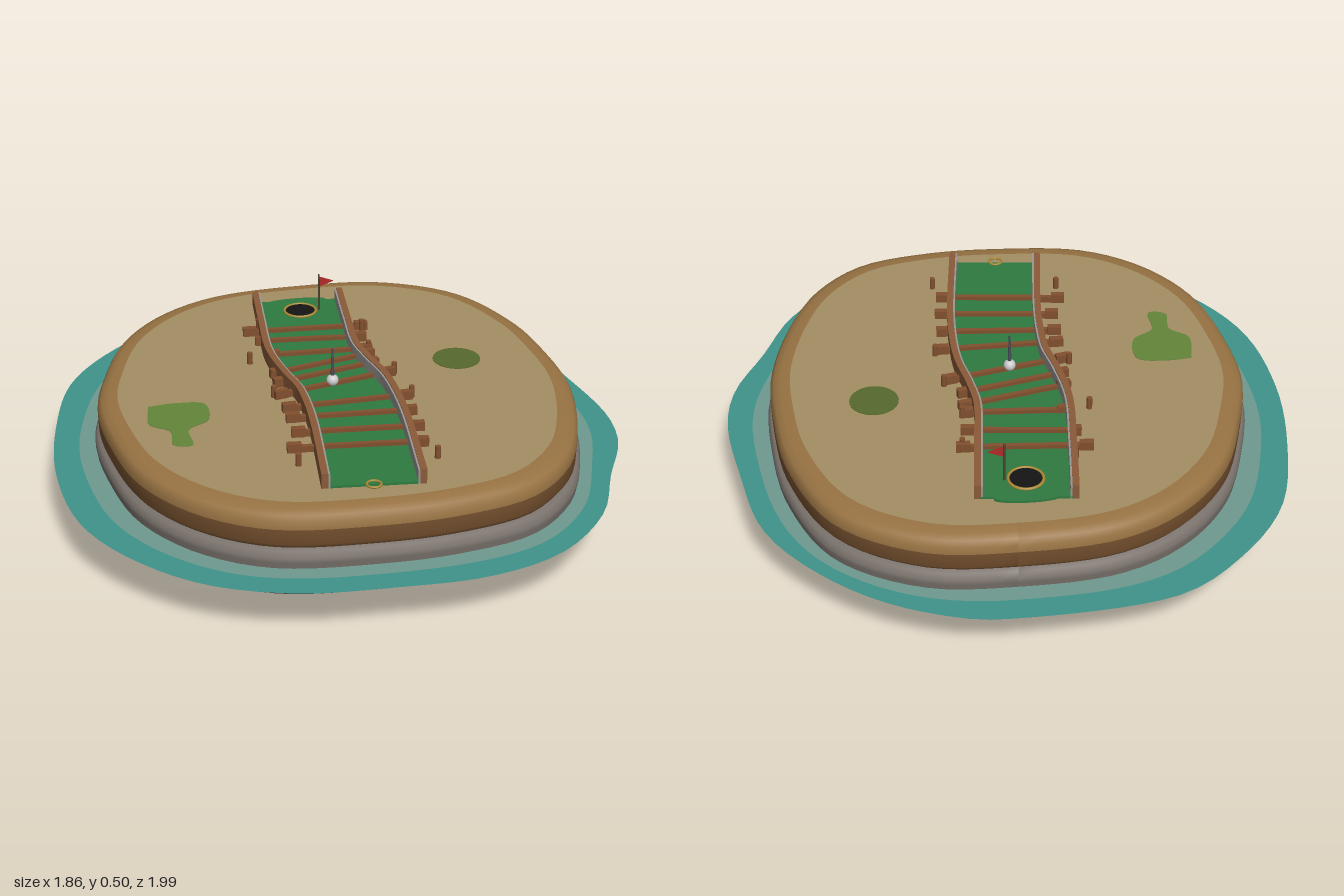
import * as THREE from 'three';

const mat = (color, side = THREE.FrontSide) => new THREE.MeshStandardMaterial({ color, side });
const WOOD = 0x8a5a38, GREEN = 0x2f7a40;
const TOP = 0.36;

export function createModel() {
  const model = new THREE.Group();

  function add(name, geometry, material, x = 0, y = 0, z = 0) {
    const mesh = new THREE.Mesh(geometry, material);
    mesh.name = name;
    mesh.position.set(x, y, z);
    model.add(mesh);
    return mesh;
  }

  // Smooth closed plan outline from a few [x, z] points
  const N = 96;
  const outline = (pts) => new THREE.CatmullRomCurve3(
    pts.map(([x, z]) => new THREE.Vector3(x, 0, z)), true).getSpacedPoints(N);

  const shore = outline([
    [0.03, -0.86], [0.32, -0.84], [0.58, -0.69], [0.73, -0.4], [0.78, -0.13], [0.79, 0.1], [0.73, 0.4],
    [0.64, 0.61], [0.48, 0.77], [0.24, 0.84], [-0.02, 0.855], [-0.34, 0.82], [-0.55, 0.69], [-0.7, 0.48],
    [-0.77, 0.21], [-0.79, -0.03], [-0.75, -0.24], [-0.66, -0.5], [-0.5, -0.7], [-0.29, -0.82]]);
  const waterEdge = outline([
    [0.06, -1], [0.19, -0.99], [0.43, -0.9], [0.64, -0.74], [0.8, -0.53], [0.88, -0.24], [0.93, 0.05],
    [0.91, 0.24], [0.82, 0.45], [0.72, 0.69], [0.53, 0.89], [0.29, 0.98], [0, 0.99], [-0.29, 0.97],
    [-0.55, 0.87], [-0.76, 0.67], [-0.88, 0.45], [-0.93, 0.13], [-0.91, -0.19], [-0.83, -0.53],
    [-0.66, -0.77], [-0.45, -0.93]]);

  // Skin a stack of plan loops, bottom to top or outside to inside
  function loft(loops) {
    const pos = loops.flatMap((l) => l.flatMap((p) => [p.x, p.y, p.z]));
    const index = [];
    const w = N + 1;
    for (let j = 0; j < loops.length - 1; j++) {
      for (let i = 0; i < N; i++) {
        const a = j * w + i, c = a + w;
        index.push(a, c, a + 1, a + 1, c, c + 1);
      }
    }
    const g = new THREE.BufferGeometry();
    g.setAttribute('position', new THREE.Float32BufferAttribute(pos, 3));
    g.setIndex(index);
    g.computeVertexNormals();
    return g;
  }
  const layer = (name, color, profile) => add(name, loft(profile.map(([s, y]) =>
    shore.map((p) => new THREE.Vector3(p.x * s, y, p.z * s)))), mat(color));

  // Island, from the seabed cone up to the sand
  layer('rockBase', 0x2b2826, [[0, 0], [0.975, 0.08]]);
  layer('lowerCliff', 0x4c4744, [[0.975, 0.08], [0.99, 0.15]]);
  layer('upperCliff', 0x7a726c, [[0.99, 0.15], [1, 0.2], [1, 0.215], [0.988, 0.235], [0.95, 0.24]]);
  layer('earthBand', 0x76512f, [[0.965, 0.235], [0.982, 0.255], [0.984, 0.305]]);
  layer('sandRim', 0x987343, [[0.984, 0.305], [0.982, 0.33], [0.968, 0.347], [0.94, 0.357], [0.9, TOP]]);
  layer('sandTop', 0xa38e63, [[0.9, TOP], [0, TOP]]);

  // Flat water ring, paler by the shore
  const ring = (t) => shore.map((p, i) => p.clone().lerp(waterEdge[i], t).setY(0.18));
  add('shallowWater', loft([ring(0.4), ring(-0.15)]), mat(0x6f9a90, THREE.DoubleSide));
  add('deepWater', loft([ring(1), ring(0.4)]), mat(0x3f938a, THREE.DoubleSide));

  // Grass patches
  const flat = (shape, h) => new THREE.ExtrudeGeometry(shape,
    { depth: h, bevelEnabled: false, curveSegments: 24 }).rotateX(-Math.PI / 2);
  const meadow = new THREE.Shape();
  meadow.moveTo(-0.62, -0.06);
  meadow.splineThru([[-0.53, -0.05], [-0.44, -0.07], [-0.44, -0.18], [-0.51, -0.24], [-0.51, -0.34],
    [-0.57, -0.33], [-0.57, -0.24], [-0.63, -0.18], [-0.62, -0.06]].map((p) => new THREE.Vector2(...p)));
  add('meadowPatch', flat(meadow, 0.002), mat(0x64863a), 0, TOP, 0);
  add('roundPatch', new THREE.CylinderGeometry(0.08, 0.08, 0.002, 32), mat(0x56692f), 0.44, TOP + 0.001, -0.11);

  // Winding lane: strips offset sideways from one centre line
  const lane = new THREE.CatmullRomCurve3([[-0.01, -0.66], [-0.026, -0.42], [-0.036, -0.2], [-0.015, -0.06],
    [0.014, 0.07], [0.022, 0.2], [0.019, 0.35], [-0.008, 0.7]].map(([x, z]) => new THREE.Vector3(x, 0, z)));
  const offset = (d) => lane.getPoints(48).map((p, i) => {
    const t = lane.getTangent(i / 48);
    return new THREE.Vector2(p.x + t.z * d, -(p.z - t.x * d));
  });
  const strip = (name, color, d0, d1, y0, y1) => add(name,
    flat(new THREE.Shape([...offset(d0), ...offset(d1).reverse()]), y1 - y0), mat(color), 0, y0, 0);

  strip('green', GREEN, -0.14, 0.14, 0.355, 0.368);
  add('greenBackEdge', new THREE.CylinderGeometry(0.1, 0.1, 0.012, 32).scale(1, 1, 0.2),
    mat(GREEN), -0.01, 0.362, -0.66);
  for (const s of [-1, 1]) {
    const side = s < 0 ? 'right' : 'left';
    strip(side + 'Wall', WOOD, s * 0.139, s * 0.16, 0.355, 0.41);
    strip(side + 'WallLining', 0x9a9693, s * 0.133, s * 0.139, 0.355, 0.407);
  }

  // Cross beams running under the walls: [x0, z0, x1, z1]
  const beams = [[-0.24, -0.42, 0.19, -0.4], [-0.21, -0.34, 0.17, -0.31], [-0.19, -0.225, 0.17, -0.215],
    [-0.2, -0.08, 0.17, -0.18], [-0.2, -0.01, 0.17, -0.11], [-0.21, 0.075, 0.21, -0.03],
    [-0.2, 0.17, 0.23, 0.15], [-0.2, 0.24, 0.22, 0.26], [-0.2, 0.34, 0.22, 0.37], [-0.23, 0.44, 0.21, 0.475]];
  const wood = mat(0x82502f);
  for (const [x0, z0, x1, z1] of beams) {
    const dx = x1 - x0, dz = z1 - z0, angle = -Math.atan2(dz, dx);
    add('crossBeam', new THREE.BoxGeometry(Math.hypot(dx, dz), 0.022, 0.016), wood,
      (x0 + x1) / 2, 0.37, (z0 + z1) / 2).rotation.y = angle;
    // Thicker stub on each end
    for (const [x, z, s] of [[x0, z0, 1], [x1, z1, -1]]) {
      add('beamEnd', new THREE.BoxGeometry(0.045, 0.03, 0.022), wood,
        x + s * 0.022, 0.375, z + s * 0.022 * dz / dx).rotation.y = angle;
    }
  }

  // Loose pegs beside the lane
  for (const [x, z] of [[-0.18, -0.46], [-0.25, -0.2], [-0.21, 0.06], [-0.21, 0.53],
    [0.17, -0.39], [0.16, -0.22], [0.21, -0.04], [0.23, 0.14], [0.22, 0.56]]) {
    add('peg', new THREE.CylinderGeometry(0.009, 0.01, 0.045, 10), wood, x, 0.378, z);
  }

  // Hole, tee ring, ball with its marker, and flag
  const gold = mat(0xa98a35);
  add('hole', new THREE.CylinderGeometry(0.052, 0.052, 0.004, 32), mat(0x141414), -0.015, 0.369, -0.57);
  add('holeRing', new THREE.TorusGeometry(0.055, 0.005, 8, 40).rotateX(Math.PI / 2), gold, -0.015, 0.37, -0.57);
  add('teeRing', new THREE.TorusGeometry(0.022, 0.004, 8, 28).rotateX(Math.PI / 2), gold, -0.01, 0.37, 0.705);
  add('ball', new THREE.SphereGeometry(0.02, 20, 14), mat(0xe4e4e4), -0.01, 0.386, 0.025);
  add('ballMarker', new THREE.CylinderGeometry(0.003, 0.007, 0.11, 10), mat(0x4a4d58), -0.01, 0.445, 0.025);
  add('flagPole', new THREE.CylinderGeometry(0.0035, 0.0035, 0.14, 8), mat(0x4d4632), 0.052, 0.433, -0.57);
  const pennant = new THREE.Shape([[0.052, 0.495], [0.052, 0.455], [0.106, 0.475]].map((p) => new THREE.Vector2(...p)));
  add('flag', new THREE.ShapeGeometry(pennant), mat(0xb02a28, THREE.DoubleSide), 0, 0, -0.57);

  return model;
}
